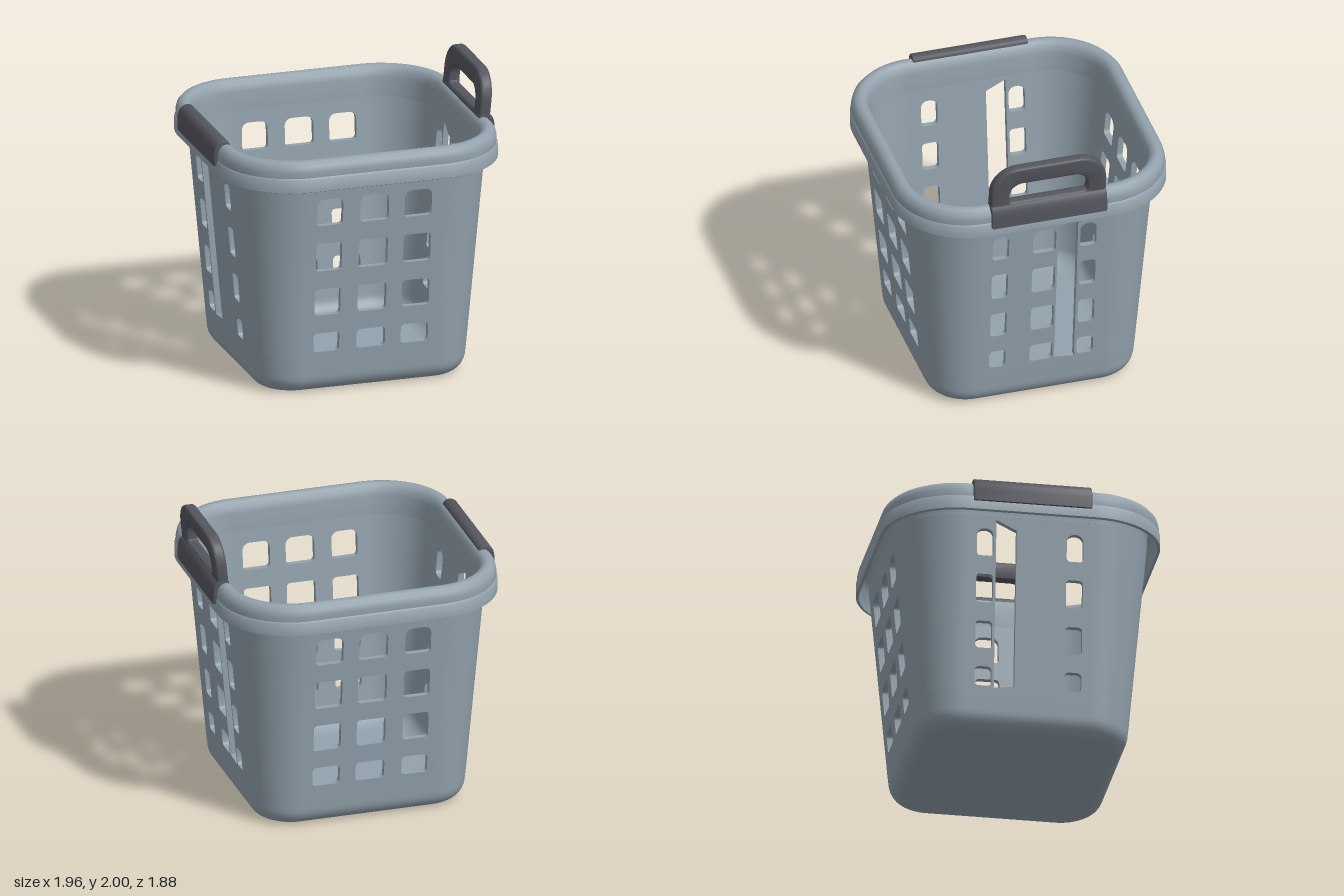
import * as THREE from 'three';
import { toCreasedNormals } from 'three/addons/utils/BufferGeometryUtils.js';

// Every horizontal outline is this core rectangle pushed outward by a radius.
const CORE_X = 0.46, CORE_Z = 0.435, PANEL = 0.42;
const WALL_BOTTOM = 0.27, WALL_TOP = 1.5, THICK = 0.04;
const wallRadius = (y) => 0.302 + (y - WALL_BOTTOM) * 0.092;

const plastic = new THREE.MeshStandardMaterial({ color: 0x93a2ad });
plastic.name = 'blue grey plastic';
const grip = new THREE.MeshStandardMaterial({ color: 0x55565e });
grip.name = 'dark grey grip';

function mesh(name, geometry, material) {
  const m = new THREE.Mesh(toCreasedNormals(geometry, 0.7), material);
  m.name = name;
  return m;
}

// Path around one corner: core position plus outward direction
function cornerPath(q, steps = 14) {
  const sx = q === 0 || q === 3 ? 1 : -1, sz = q < 2 ? 1 : -1;
  const alongZ = [sx * CORE_X, sz * PANEL], alongX = [sx * PANEL, sz * CORE_Z];
  const [first, last] = q % 2 ? [alongX, alongZ] : [alongZ, alongX];
  const dir = (a) => [Math.cos(a), Math.sin(a)];
  const a0 = q * Math.PI / 2, a1 = a0 + Math.PI / 2;
  const path = [[...first, ...dir(a0)]];
  for (let i = 0; i <= steps; i++) {
    path.push([sx * CORE_X, sz * CORE_Z, ...dir(a0 + (a1 - a0) * i / steps)]);
  }
  path.push([...last, ...dir(a1)]);
  return path;
}

// Sweep a profile of [radius, y] points along a path
function sweep(path, profile, closed) {
  const pos = [], index = [], n = profile.length;
  for (const [cx, cz, dx, dz] of path) {
    for (const [r, y] of profile) pos.push(cx + dx * r, y, cz + dz * r);
  }
  const count = closed ? path.length : path.length - 1;
  for (let i = 0; i < count; i++) {
    const k = (i + 1) % path.length;
    for (let j = 0; j < n - 1; j++) {
      const a = i * n + j, b = a + 1, c = k * n + j, d = c + 1;
      index.push(a, b, c, b, d, c);
    }
  }
  const g = new THREE.BufferGeometry();
  g.setAttribute('position', new THREE.Float32BufferAttribute(pos, 3));
  g.setIndex(index);
  g.computeVertexNormals();
  return g;
}

function roundedRect(target, x0, y0, x1, y1, rb, rt) {
  const H = Math.PI / 2;
  target.moveTo(x0 + rb, y0);
  target.absarc(x1 - rb, y0 + rb, rb, -H, 0, false);
  target.absarc(x1 - rt, y1 - rt, rt, 0, H, false);
  target.absarc(x0 + rt, y1 - rt, rt, H, 2 * H, false);
  target.absarc(x0 + rb, y0 + rb, rb, 2 * H, 3 * H, false);
  return target;
}

// Sloping flat wall with a grid of windows and an optional tall slot
function panelGeometry(columns, core, angle, slotSide = 0) {
  const shape = new THREE.Shape([
    [-PANEL, WALL_BOTTOM], [PANEL, WALL_BOTTOM], [PANEL, WALL_TOP], [-PANEL, WALL_TOP],
  ].map((p) => new THREE.Vector2(...p)));
  const rows = [[0.295, 0.43, 0.03], [0.56, 0.75, 0.025], [0.88, 1.08, 0.025], [1.21, 1.4, 0.05]];
  for (const [x0, x1] of columns) {
    for (const [y0, y1, rt] of rows) {
      shape.holes.push(roundedRect(new THREE.Path(), x0, y0, x1, y1, 0.025, rt));
    }
  }
  if (slotSide) {
    shape.holes.push(new THREE.Path([
      [0.092, 0.3], [0.23, 0.285], [0.23, 1.465], [0.092, 1.4],
    ].map(([x, y]) => new THREE.Vector2(slotSide * x, y))));
  }
  const g = new THREE.ExtrudeGeometry(shape, { depth: THICK, bevelEnabled: false, curveSegments: 5 });
  const p = g.attributes.position;
  for (let i = 0; i < p.count; i++) {
    p.setZ(i, p.getZ(i) - THICK + core + wallRadius(p.getY(i)));
  }
  g.rotateY(angle);
  g.computeVertexNormals();
  return g;
}

// Saddle-shaped cover wrapped over the rim on the +x side
function coverGeometry() {
  const shape = new THREE.Shape();
  shape.moveTo(0.957, 1.555);
  shape.lineTo(0.982, 1.555);
  shape.lineTo(0.982, 1.63);
  shape.bezierCurveTo(0.98, 1.7, 0.95, 1.727, 0.91, 1.727);
  shape.quadraticCurveTo(0.88, 1.725, 0.87, 1.7);
  shape.lineTo(0.87, 1.67);
  shape.lineTo(0.945, 1.66);
  const g = new THREE.ExtrudeGeometry(shape, {
    depth: 0.78, bevelSize: 0.01, bevelThickness: 0.01, bevelOffset: -0.01, bevelSegments: 2, curveSegments: 8,
  });
  return g.translate(0, 0, -0.39);
}

// Raised carrying loop, leaning slightly outward
function loopGeometry() {
  const shape = roundedRect(new THREE.Shape(), -0.4, 1.66, 0.4, 2, 0.03, 0.19);
  shape.holes.push(roundedRect(new THREE.Path(), -0.27, 1.725, 0.27, 1.87, 0.015, 0.09));
  const g = new THREE.ExtrudeGeometry(shape, {
    depth: 0.04, bevelSize: 0.02, bevelThickness: 0.02, bevelOffset: -0.02, bevelSegments: 4, curveSegments: 10,
  });
  g.rotateY(Math.PI / 2);
  const p = g.attributes.position;
  for (let i = 0; i < p.count; i++) {
    p.setX(i, p.getX(i) + 0.892 + 0.1 * (p.getY(i) - 1.7));
  }
  g.computeVertexNormals();
  return g;
}

export function createModel() {
  const model = new THREE.Group();
  model.name = 'laundryBasket';
  const corners = [0, 1, 2, 3].map((q) => cornerPath(q));
  const ring = corners.flat();

  // Tub base with rounded lower edge
  const outer = [[0, 0]], inner = [];
  for (let i = 0; i <= 8; i++) {
    const a = i / 8 * Math.PI / 2;
    outer.push([0.175 + 0.113 * Math.sin(a), 0.13 * (1 - Math.cos(a))]);
    inner.unshift([0.12 + 0.13 * Math.sin(a), 0.04 + 0.11 * (1 - Math.cos(a))]);
  }
  const edge = wallRadius(WALL_BOTTOM);
  const baseProfile = [...outer, [edge - 0.006, 0.2], [edge, WALL_BOTTOM],
    [edge - THICK, WALL_BOTTOM], ...inner, [0, 0.04]];
  model.add(mesh('base', sweep(ring, baseProfile, true), plastic));
  const floor = mesh('floor', new THREE.BoxGeometry(CORE_X * 2, 0.04, CORE_Z * 2), plastic);
  floor.position.y = 0.02;
  model.add(floor);

  // Solid wall corners
  const top = wallRadius(WALL_TOP);
  const wallProfile = [[edge, WALL_BOTTOM], [top, WALL_TOP], [top - THICK, WALL_TOP], [edge - THICK, WALL_BOTTOM]];
  for (const path of corners) model.add(mesh('wallCorner', sweep(path, wallProfile, false), plastic));

  // Windowed walls
  const wide = [[-0.4, -0.22], [-0.1, 0.1], [0.21, 0.4]];
  const outerColumns = [[-0.36, -0.247], [0.247, 0.36]];
  const H = Math.PI / 2;
  model.add(mesh('frontWall', panelGeometry(wide, CORE_Z, 0), plastic));
  model.add(mesh('backWall', panelGeometry(wide.map(([a, b]) => [-b, -a]), CORE_Z, Math.PI), plastic));
  model.add(mesh('leftWall', panelGeometry([...outerColumns, [-0.08, 0.08]], CORE_X, H, 1), plastic));
  model.add(mesh('rightWall', panelGeometry(outerColumns, CORE_X, -H, -1), plastic));

  // Rolled rim with a hollow underside
  const rimProfile = [[0.495, 1.49], [0.505, 1.495], [0.504, 1.58], [0.494, 1.592], [0.497, 1.63],
    [0.488, 1.668], [0.465, 1.694], [0.435, 1.702], [0.408, 1.692], [0.387, 1.665], [0.378, 1.62],
    [0.374, 1.49], [0.415, 1.49], [0.42, 1.62], [0.45, 1.66], [0.475, 1.62], [0.485, 1.49], [0.495, 1.49]];
  model.add(mesh('rim', sweep(ring, rimProfile, true), plastic));

  // Handles: raised on the left, folded down on the right
  model.add(mesh('leftHandleCover', coverGeometry(), grip));
  model.add(mesh('leftHandleLoop', loopGeometry(), grip));
  model.add(mesh('rightHandleCover', coverGeometry().rotateY(Math.PI), grip));
  return model;
}
